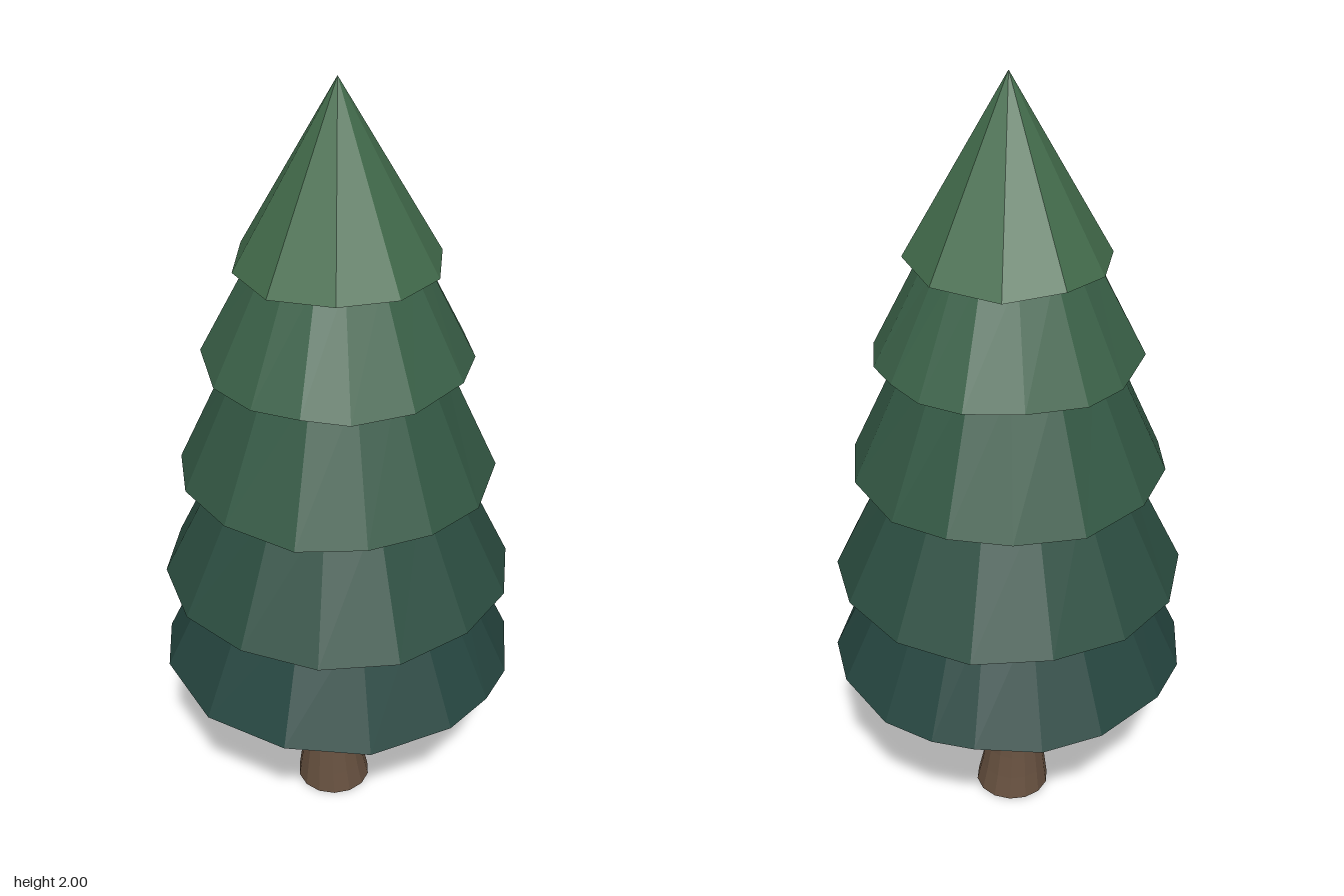
import * as THREE from 'three';

// Corner angles in degrees, counter-clockwise seen from above
const evenAngles = (n, start) => Array.from({ length: n }, (_, i) => start + (i * 360) / n);

// Bough tiers from the bottom up: base height, base radius, top height, top radius
const TIERS = [
  { y: 0.475, r: 0.447, topY: 0.77, topR: 0.31, color: 0x264640,
    angles: [-163, -134, -107, -79, -61, -44, -19, 2, 26, 44, 58, 79, 99, 125, 145, 167] },
  { y: 0.73, r: 0.434, topY: 1.06, topR: 0.275, color: 0x2c4e41, angles: evenAngles(14, -149) },
  { y: 1.03, r: 0.384, topY: 1.36, topR: 0.235, color: 0x335844,
    angles: [-160, -132, -107, -83, -58, -30, -4, 24, 47, 70, 96, 124, 150, 172] },
  { y: 1.33, r: 0.322, topY: 1.6, topR: 0.185, color: 0x3a6148,
    angles: [-178, -154, -132, -112, -85, -55, -29, -6, 13, 30, 50, 75, 102, 122, 152] },
  { y: 1.57, r: 0.243, topY: 2, topR: 0, color: 0x426b4b,
    angles: [-157, -118, -83, -48, -17, 23, 65, 100, 130, 166] },
];
const AXIS_X = -0.006;

// Faceted frustum (or cone when topR is 0) with a closed, slightly wavy base
function tierGeometry({ y, r, topY, topR, angles }, phase) {
  const n = angles.length;
  const pos = [];
  const corner = (i, radius, height) => {
    const a = THREE.MathUtils.degToRad(angles[i % n]);
    return [AXIS_X + Math.cos(a) * radius, height, -Math.sin(a) * radius];
  };
  const wave = (i) => 0.006 * Math.sin((i % n) * 2.1 + phase);
  const base = (i) => corner(i, r, y + wave(i));
  for (let i = 0; i < n; i++) {
    const a = base(i), b = base(i + 1);
    const c = corner(i + 1, topR, topY), d = corner(i, topR, topY);
    pos.push(...a, ...b, ...c);
    if (topR > 0) pos.push(...a, ...c, ...d);
    pos.push(...b, ...a, AXIS_X, y, 0);
  }
  const g = new THREE.BufferGeometry();
  g.setAttribute('position', new THREE.Float32BufferAttribute(pos, 3));
  g.computeVertexNormals();
  return g;
}

// Flared, slightly bowed trunk: a cylinder whose rings follow a curve
// with x = centre offset, y = height, z = radius
function trunkGeometry() {
  const height = 0.6;
  const rings = new THREE.CatmullRomCurve3([
    new THREE.Vector3(-0.015, 0, 0.097),
    new THREE.Vector3(-0.02, 0.1, 0.08),
    new THREE.Vector3(-0.02, 0.2, 0.067),
    new THREE.Vector3(-0.018, 0.35, 0.057),
    new THREE.Vector3(-0.011, 0.48, 0.054),
    new THREE.Vector3(-0.008, height, 0.052),
  ]);
  const g = new THREE.CylinderGeometry(1, 1, height, 14, 8);
  const p = g.attributes.position;
  for (let i = 0; i < p.count; i++) {
    const t = THREE.MathUtils.clamp(p.getY(i) / height + 0.5, 0, 1);
    const ring = rings.getPoint(t);
    p.setXYZ(i, ring.x + p.getX(i) * ring.z, ring.y, -0.009 + p.getZ(i) * ring.z);
  }
  g.computeVertexNormals();
  return g;
}

export function createModel() {
  const tree = new THREE.Group();
  tree.name = 'pineTree';

  // Trunk
  const trunk = new THREE.Mesh(
    trunkGeometry(),
    new THREE.MeshStandardMaterial({ color: 0x66503f, flatShading: true })
  );
  trunk.name = 'trunk';
  tree.add(trunk);

  // Overlapping tiers of boughs, lighter towards the tip
  const foliage = new THREE.Group();
  foliage.name = 'foliage';
  TIERS.forEach((tier, i) => {
    const mesh = new THREE.Mesh(
      tierGeometry(tier, i * 1.3),
      new THREE.MeshStandardMaterial({ color: tier.color, flatShading: true })
    );
    mesh.name = `boughTier${i + 1}`;
    foliage.add(mesh);
  });
  tree.add(foliage);
  return tree;
}
